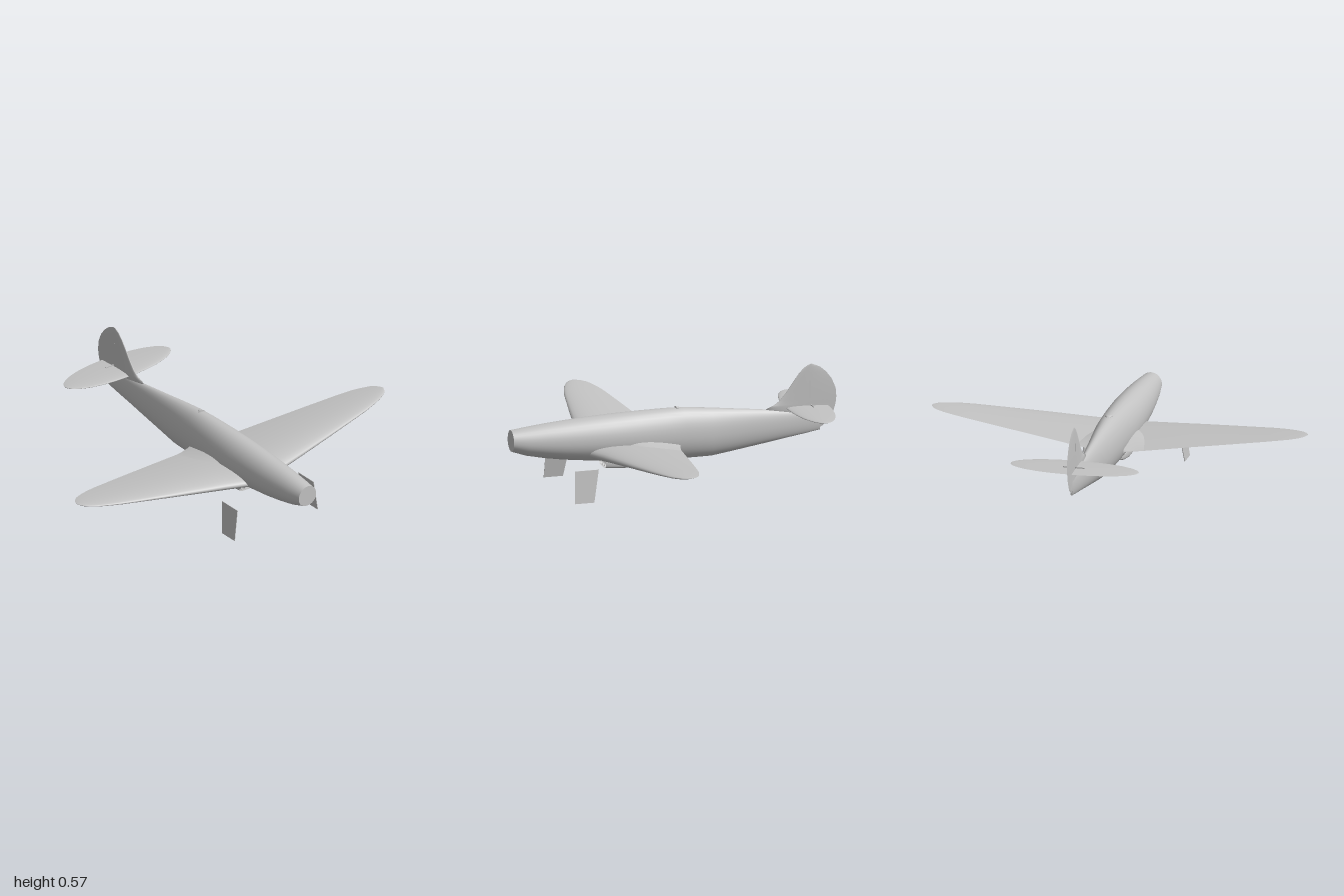
import * as THREE from 'three';

const skin = new THREE.MeshStandardMaterial({ color: 0xc2c2c2, side: THREE.DoubleSide });
skin.name = 'bare grey';

// Skins a list of rings; closed rings are smooth all round, open ones keep a sharp edge
function loft(rings, closed, capStart = true, capEnd = true) {
  const n = rings[0].length, pos = rings.flat(2), idx = [];
  const quads = closed ? n : n - 1;
  for (let r = 0; r < rings.length - 1; r++) {
    for (let i = 0; i < quads; i++) {
      const a = r * n + i, b = r * n + (i + 1) % n;
      idx.push(a, b, a + n, b, b + n, a + n);
    }
  }
  const cap = (ring, flip) => {
    const base = pos.length / 3;
    const mid = [0, 1, 2].map(k => ring.reduce((s, p) => s + p[k], 0) / n);
    pos.push(...ring.flat(), ...mid);
    for (let i = 0; i < quads; i++) {
      const a = base + i, b = base + (i + 1) % n;
      idx.push(...(flip ? [b, a, base + n] : [a, b, base + n]));
    }
  };
  if (capStart) cap(rings[0], true);
  if (capEnd) cap(rings[rings.length - 1], false);

  // Turn the faces outward if the enclosed volume is negative
  const v = i => new THREE.Vector3().fromArray(pos, idx[i] * 3);
  let volume = 0;
  for (let i = 0; i < idx.length; i += 3) volume += v(i).dot(v(i + 1).cross(v(i + 2)));
  if (volume < 0) idx.reverse();

  const g = new THREE.BufferGeometry();
  g.setAttribute('position', new THREE.Float32BufferAttribute(pos, 3));
  g.setIndex(idx);
  g.computeVertexNormals();
  return g;
}

// Symmetric aerofoil outline as [z, offset] pairs, trailing edge to trailing edge
function aerofoil(lead, trail, thick) {
  const out = [];
  for (let i = 0; i <= 32; i++) {
    const t = i / 32 * Math.PI * 2, c = (1 + Math.cos(t)) / 2;
    const h = 5 * thick * (0.2969 * Math.sqrt(c) - 0.126 * c - 0.3516 * c * c
      + 0.2843 * c ** 3 - 0.1036 * c ** 4);
    out.push([lead + (trail - lead) * c, i <= 16 ? h : -h]);
  }
  return out;
}

// Stations are [x, leading z, trailing z, y, thickness]
const wingGeometry = (stations, side) => loft(stations.map(([x, l, t, y, th]) =>
  aerofoil(l, t, th).map(([z, h]) => [side * x, y + h, z])), false);

export function createModel() {
  const model = new THREE.Group();
  model.name = 'aeroplane';
  const add = (name, geometry) => {
    const m = new THREE.Mesh(geometry, skin);
    m.name = name;
    model.add(m);
    return m;
  };

  // Fuselage: [z, bottom, top, half width], egg-shaped sections
  const body = [
    [0.88, 0.232, 0.345, 0.057], [0.8, 0.205, 0.355, 0.068], [0.7, 0.184, 0.366, 0.078],
    [0.6, 0.168, 0.374, 0.086], [0.47, 0.153, 0.383, 0.092], [0.34, 0.142, 0.389, 0.095],
    [0.2, 0.132, 0.393, 0.092], [0.05, 0.125, 0.395, 0.084], [-0.05, 0.122, 0.393, 0.078],
    [-0.2, 0.122, 0.378, 0.064], [-0.3, 0.136, 0.366, 0.053], [-0.4, 0.151, 0.355, 0.043],
    [-0.5, 0.166, 0.343, 0.034], [-0.6, 0.182, 0.33, 0.024], [-0.7, 0.197, 0.318, 0.015],
    [-0.79, 0.212, 0.308, 0.007],
  ];
  add('fuselage', loft(body.map(([z, b, t, w]) => {
    const mid = b + (t - b) * 0.46, ring = [];
    for (let i = 0; i < 36; i++) {
      const a = i / 36 * Math.PI * 2, s = Math.sin(a);
      ring.push([w * Math.cos(a), mid + s * (s > 0 ? t - mid : mid - b), z]);
    }
    return ring;
  }), true));

  const wing = [
    [0.05, 0.482, -0.008, 0.198, 0.078], [0.2, 0.452, 0.016, 0.214, 0.07],
    [0.4, 0.418, 0.05, 0.236, 0.055], [0.6, 0.381, 0.083, 0.257, 0.04],
    [0.8, 0.342, 0.118, 0.278, 0.026], [0.87, 0.322, 0.134, 0.285, 0.021],
    [0.92, 0.304, 0.15, 0.289, 0.017], [0.96, 0.283, 0.168, 0.293, 0.013],
    [0.985, 0.262, 0.19, 0.295, 0.009], [1, 0.235, 0.218, 0.297, 0.003],
  ];
  const fillet = [
    [0.05, 0.32, -0.02, 0.216, 0.085], [0.1, 0.28, -0.006, 0.211, 0.068],
    [0.15, 0.22, 0.008, 0.211, 0.04], [0.2, 0.16, 0.018, 0.213, 0.012],
  ];
  // Elliptical tailplane halves
  const tail = [[0.012, -0.607, -0.832, 0.341, 0.018]];
  for (const a of [0, 0.25, 0.5, 0.75, 1, 1.2, 1.35, 1.47, 1.54]) {
    const c = Math.cos(a);
    tail.push([0.02 + 0.32 * Math.sin(a), -0.72 + 0.112 * c, -0.72 - 0.112 * c, 0.341, 0.003 + 0.014 * c]);
  }
  for (const side of [1, -1]) {
    const label = side > 0 ? 'left' : 'right';
    add(label + 'Wing', wingGeometry(wing, side));
    add(label + 'WingFillet', wingGeometry(fillet, side));
    add(label + 'Tailplane', wingGeometry(tail, side));

    // Splayed undercarriage door, narrower toward its lower edge
    const door = (x, y, front, back) =>
      [[x, y, front], [x, y, back], [x + 0.003, y, back], [x + 0.003, y, front]]
        .map(([px, py, pz]) => [side * px, py, pz]);
    add(label + 'WheelDoor', loft([door(0.247, 0.168, 0.612, 0.483), door(0.27, 0, 0.618, 0.514)], true)
      .toNonIndexed()).geometry.computeVertexNormals();
  }

  // Fin and rudder: [y, leading z, trailing z, thickness]
  const fin = [
    [0.228, -0.785, -0.797, 0.008], [0.255, -0.77, -0.836, 0.012], [0.3, -0.64, -0.862, 0.018],
    [0.34, -0.49, -0.874, 0.022], [0.36, -0.54, -0.878, 0.02], [0.385, -0.575, -0.88, 0.018],
    [0.43, -0.612, -0.876, 0.016], [0.48, -0.647, -0.855, 0.013], [0.52, -0.677, -0.825, 0.01],
    [0.55, -0.705, -0.79, 0.008], [0.567, -0.737, -0.75, 0.004],
  ];
  add('finAndRudder', loft(fin.map(([y, l, t, th]) =>
    aerofoil(l, t, th).map(([z, h]) => [h, y, z])), false));

  // Hinge bars at the tail
  add('elevatorHinge', new THREE.BoxGeometry(0.115, 0.006, 0.004)).position.set(0, 0.35, -0.74);
  add('rudderHinge', new THREE.BoxGeometry(0.016, 0.09, 0.003)).position.set(0, 0.435, -0.735);

  // Radiator scoop with an open mouth: [z, bottom, top, half width]
  const scoop = [
    [0.385, 0.112, 0.165, 0.06], [0.3, 0.105, 0.165, 0.062], [0.2, 0.102, 0.16, 0.06],
    [0.13, 0.112, 0.155, 0.052], [0.07, 0.128, 0.15, 0.035],
  ];
  add('radiatorScoop', loft(scoop.map(([z, b, t, w]) => {
    const ring = [];
    for (let i = 0; i < 28; i++) {
      const a = i / 28 * Math.PI * 2, c = Math.cos(a), s = Math.sin(a);
      ring.push([w * Math.sign(c) * Math.sqrt(Math.abs(c)),
        (b + t) / 2 + (t - b) / 2 * Math.sign(s) * Math.sqrt(Math.abs(s)), z]);
    }
    return ring;
  }), true, false, true));
  for (const x of [-0.032, 0, 0.032]) {
    const duct = add('radiatorDuct', new THREE.CylinderGeometry(0.016, 0.016, 0.06, 16, 1, true));
    duct.rotation.x = Math.PI / 2;
    duct.position.set(x, 0.13, 0.35);
  }

  // Small raised fairing on the spine
  const fairing = add('spineFairing', new THREE.ConeGeometry(0.02, 0.03, 12));
  fairing.rotation.x = -Math.PI / 2;
  fairing.scale.z = 0.4;
  fairing.position.set(0, 0.393, -0.025);

  return model;
}
